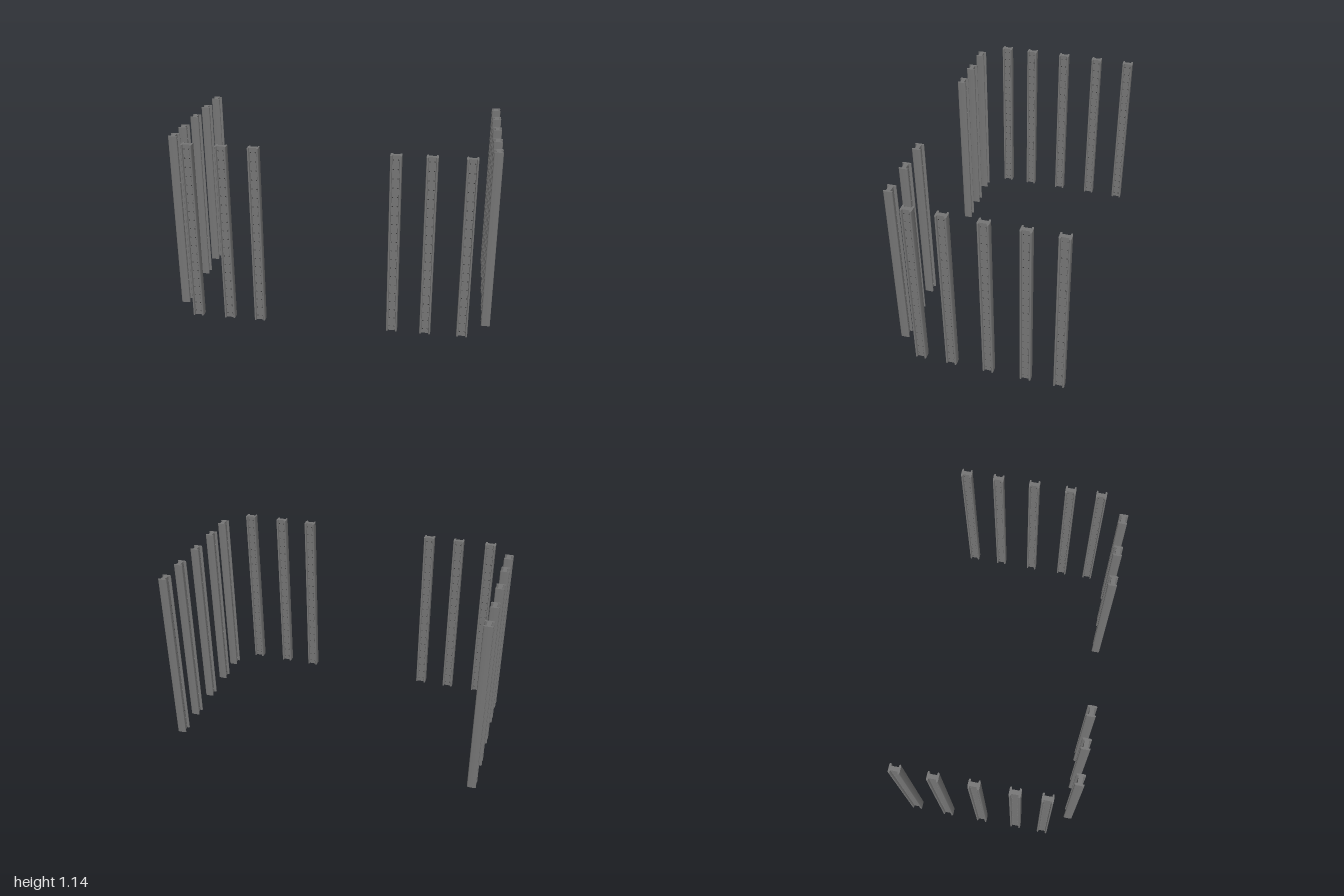
import * as THREE from 'three';
import { toCreasedNormals } from 'three/addons/utils/BufferGeometryUtils.js';

const HEIGHT = 1.14;
const WEB = 0.021;        // half width of the recessed web
const WEB_FACE = 0.013;   // half thickness of the web
const SOCKET = 0.003;     // depth of the blind holes

// I-shaped section: quarter outline mirrored into four quadrants
function beamGeometry() {
  const quarter = [
    [0, WEB_FACE - SOCKET], [WEB, WEB_FACE - SOCKET], [WEB, WEB_FACE],
    [0.0217, 0.0165], [0.0222, 0.021], [0.0228, 0.025], [0.0242, 0.0272],
    [0.0265, 0.028], [0.0298, 0.0272], [0.0323, 0.0245], [0.0336, 0.02], [0.034, 0.014],
  ];
  const points = [];
  for (const [sx, sy] of [[1, 1], [1, -1], [-1, -1], [-1, 1]]) {
    const side = quarter.map(([x, y]) => new THREE.Vector2(x * sx, y * sy));
    points.push(...(sx * sy > 0 ? side.slice(1) : side.reverse().slice(0, -1)));
  }
  const geometry = new THREE.ExtrudeGeometry(new THREE.Shape(points), { depth: HEIGHT, bevelEnabled: false });
  geometry.rotateX(-Math.PI / 2);
  return toCreasedNormals(geometry, 0.7);
}

// Web facing with two columns of small holes, its edges set into the flanges
function plateGeometry() {
  const half = WEB + 0.0004;
  const shape = new THREE.Shape();
  shape.moveTo(-half, 0).lineTo(half, 0).lineTo(half, HEIGHT).lineTo(-half, HEIGHT).closePath();
  const rows = 20;
  for (let i = 0; i < rows; i++) {
    for (const x of [-0.0145, 0.0145]) {
      const hole = new THREE.Path();
      hole.absarc(x, HEIGHT * (i + 0.5) / rows, 0.004, 0, Math.PI * 2, true);
      shape.holes.push(hole);
    }
  }
  const geometry = new THREE.ExtrudeGeometry(shape, { depth: SOCKET, bevelEnabled: false, curveSegments: 4 });
  return geometry.translate(0, 0, WEB_FACE - SOCKET);
}

export function createModel() {
  const model = new THREE.Group();
  model.name = 'postRows';
  const steel = new THREE.MeshStandardMaterial({ color: 0x757575 });
  const dark = new THREE.MeshStandardMaterial({ color: 0x383838 });
  const beam = beamGeometry();
  const plate = plateGeometry();
  // Dark floor of the holes, just proud of the beam's core
  const floor = new THREE.BoxGeometry(2 * WEB, HEIGHT - 0.01, 2 * (WEB_FACE - SOCKET) + 0.002);
  floor.translate(0, HEIGHT / 2, 0);

  function addPart(post, name, geometry, material, turn = 0) {
    const mesh = new THREE.Mesh(geometry, material);
    mesh.name = name;
    mesh.rotation.y = turn;
    post.add(mesh);
  }

  function addPost(name, x, z, turn) {
    const post = new THREE.Group();
    post.name = name;
    addPart(post, 'beam', beam, steel);
    addPart(post, 'holeFloor', floor, dark);
    for (const angle of [0, Math.PI]) addPart(post, 'perforatedWeb', plate, steel, angle);
    post.position.set(x, 0, z);
    post.rotation.y = turn;
    model.add(post);
  }

  // Front row, with a wide opening in the middle
  for (const x of [-0.837, -0.63, -0.435, 0.398, 0.603, 0.828]) addPost('frontPost', x, 0.515, 0);
  // Side rows
  for (const z of [0.357, 0.161, -0.072, -0.304, -0.51]) addPost('leftPost', 0.972, z, Math.PI / 2);
  for (const z of [0.357, 0.174, -0.058, -0.291]) addPost('rightPost', -0.972, z, Math.PI / 2);
  addPost('rightPost', -0.968, -0.51, Math.PI / 2);
  return model;
}
